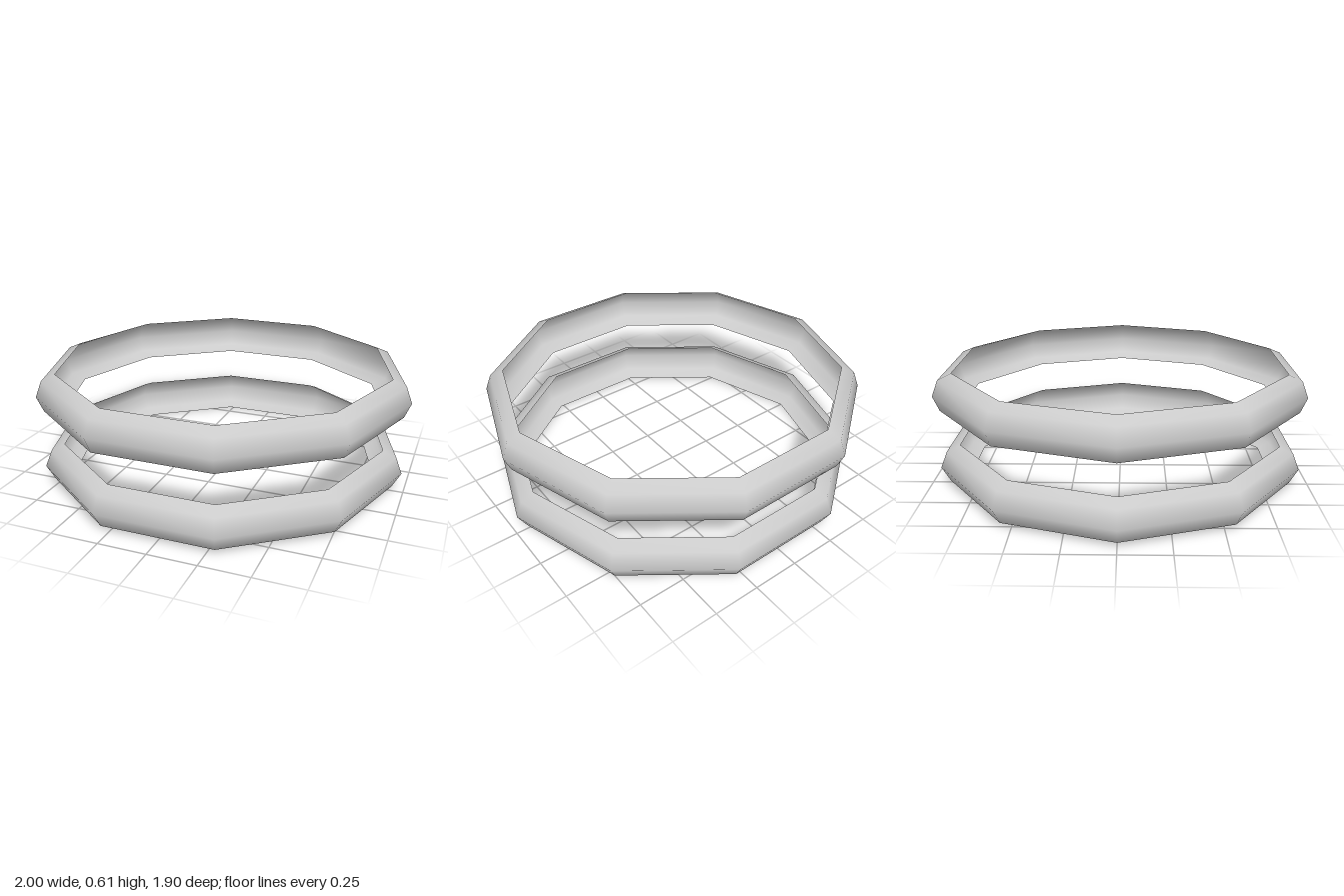
import * as THREE from 'three';

const material = new THREE.MeshStandardMaterial({ color: 0xcccccc, side: THREE.DoubleSide });

// Ten-sided open channel ring: half-round shell, hollow towards the inside
function ring(name, profile) {
  const points = profile.map(([r, y]) => new THREE.Vector2(r, y));
  const mesh = new THREE.Mesh(new THREE.LatheGeometry(points, 10, Math.PI / 2), material);
  mesh.name = name;
  return mesh;
}

export function createModel() {
  const group = new THREE.Group();
  group.name = 'ringPair';

  // Profiles run from the lower lip, round the outside, to the upper lip
  group.add(
    ring('lowerRing', [[0.865, 0], [0.94, 0.026], [0.984, 0.107], [0.95, 0.192], [0.878, 0.222]]),
    ring('upperRing', [[0.882, 0.395], [0.967, 0.42], [1, 0.5], [0.968, 0.583], [0.897, 0.614]])
  );
  return group;
}
